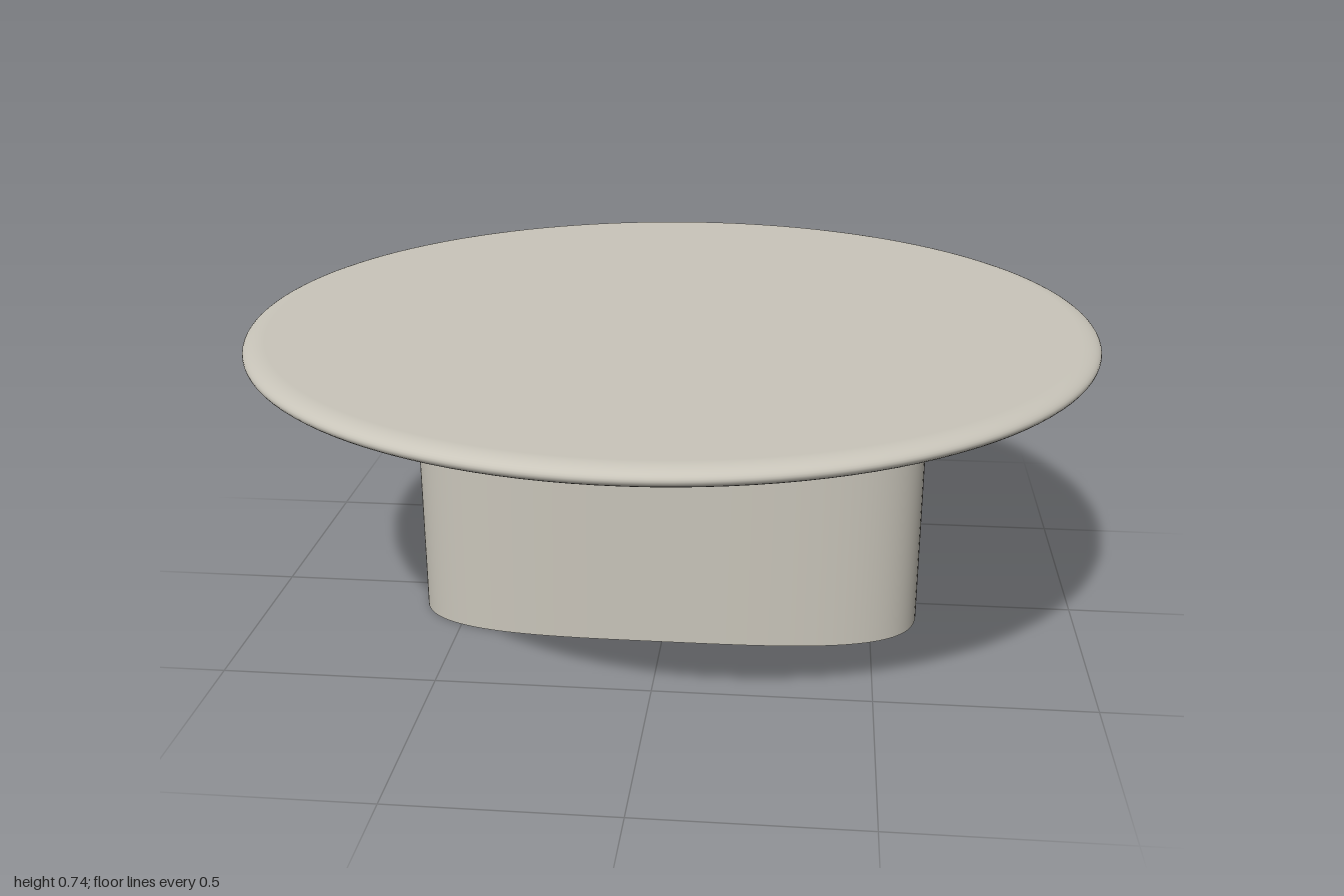
import * as THREE from 'three';

const TOP = 0.743, UNDERSIDE = 0.698;

// Round top with a soft elliptical edge
function tabletopGeometry() {
  const mid = (TOP + UNDERSIDE) / 2, half = (TOP - UNDERSIDE) / 2, edge = 0.05;
  const profile = [new THREE.Vector2(0, UNDERSIDE)];
  for (let i = 0; i <= 16; i++) {
    const a = -Math.PI / 2 + (i / 16) * Math.PI;
    profile.push(new THREE.Vector2(1 - edge + edge * Math.cos(a), mid + half * Math.sin(a)));
  }
  profile.push(new THREE.Vector2(0, TOP));
  return new THREE.LatheGeometry(profile, 128);
}

// Upright column whose footprint is a superellipse
function pedestalGeometry(halfWidth, halfDepth, exponent) {
  const geometry = new THREE.CylinderGeometry(1, 1, UNDERSIDE, 128);
  geometry.translate(0, UNDERSIDE / 2, 0);
  const pos = geometry.attributes.position;
  const bulge = (v) => (Math.abs(v) < 1e-6 ? 0 : Math.sign(v) * Math.abs(v) ** (2 / exponent));
  for (let i = 0; i < pos.count; i++) {
    pos.setX(i, halfWidth * bulge(pos.getX(i)));
    pos.setZ(i, halfDepth * bulge(pos.getZ(i)));
  }
  geometry.computeVertexNormals();
  return geometry;
}

export function createModel() {
  const stone = new THREE.MeshStandardMaterial({ color: 0xc9c5ba });
  stone.name = 'warm grey stone';

  const tabletop = new THREE.Mesh(tabletopGeometry(), stone);
  tabletop.name = 'tabletop';

  const pedestal = new THREE.Mesh(pedestalGeometry(0.617, 0.264, 3.5), stone);
  pedestal.name = 'pedestal';

  const table = new THREE.Group();
  table.name = 'table';
  table.add(tabletop, pedestal);
  return table;
}
